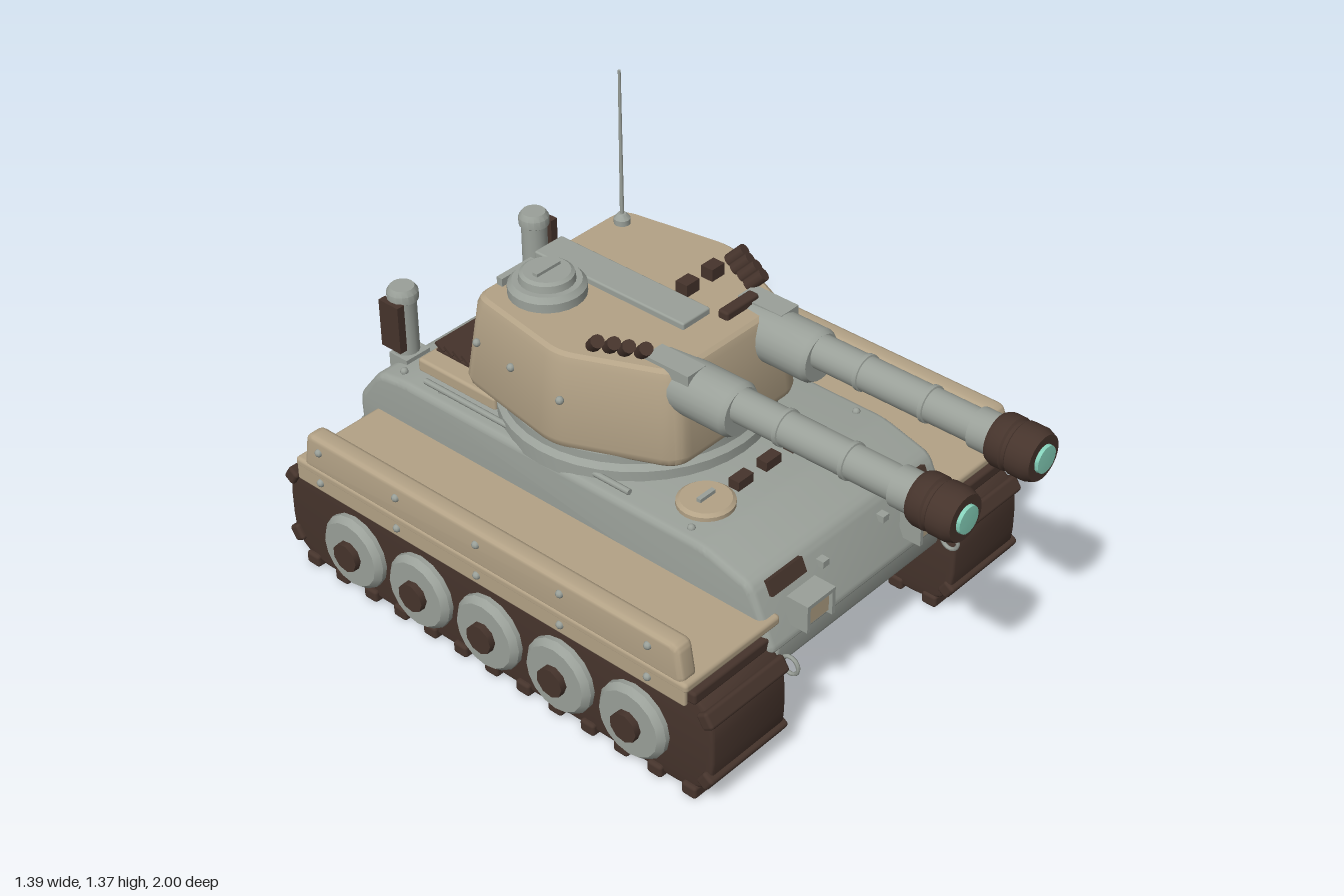
import * as THREE from 'three';
import { toCreasedNormals } from 'three/addons/utils/BufferGeometryUtils.js';
import { RoundedBoxGeometry } from 'three/addons/geometries/RoundedBoxGeometry.js';

const mat = (name, color) => Object.assign(new THREE.MeshStandardMaterial({ color }), { name });

export function createModel() {
  const tan = mat('sand tan', 0xb3a286);
  const grey = mat('armour grey', 0x9aa099);
  const brown = mat('dark brown', 0x46342c);
  const teal = mat('glowing teal', 0x86d2bb);
  const model = new THREE.Group();
  model.name = 'tank';

  const add = (name, geo, material, x = 0, y = 0, z = 0, parent = model) => {
    const m = new THREE.Mesh(geo, material);
    m.name = name;
    m.position.set(x, y, z);
    parent.add(m);
    return m;
  };
  const box = (w, h, d) => new THREE.BoxGeometry(w, h, d);
  const rbox = (w, h, d, r) => new RoundedBoxGeometry(w, h, d, 2, r);
  const cyl = (r, h, n = 20, r2 = r) => new THREE.CylinderGeometry(r2, r, h, n);
  // turned part; profile pairs are [radius, height], axis is y
  const turned = (pts, n = 24) =>
    toCreasedNormals(new THREE.LatheGeometry(pts.map(p => new THREE.Vector2(...p)), n), 0.6);
  const both = fn => [-1, 1].forEach(fn);

  // closed outline with rounded corners
  const roundPoly = (pts, r) => {
    const s = new THREE.Shape();
    const v = pts.map(p => new THREE.Vector2(...p));
    v.forEach((p, i) => {
      const a = v[(i + v.length - 1) % v.length], b = v[(i + 1) % v.length];
      const p0 = a.clone().sub(p).setLength(r).add(p), p1 = b.clone().sub(p).setLength(r).add(p);
      if (i) s.lineTo(p0.x, p0.y); else s.moveTo(p0.x, p0.y);
      s.quadraticCurveTo(p.x, p.y, p1.x, p1.y);
    });
    s.closePath();
    return s;
  };
  // side profile (z, y) widened along x
  const sideExtrude = (shape, width, bevel) => {
    const g = new THREE.ExtrudeGeometry(shape, {
      depth: width - 2 * bevel, bevelEnabled: bevel > 0, bevelSize: bevel, bevelThickness: bevel,
      bevelOffset: -bevel, bevelSegments: 3, curveSegments: 6,
    });
    g.translate(0, 0, -(width - 2 * bevel) / 2).rotateY(-Math.PI / 2);
    return toCreasedNormals(g, 0.6);
  };

  // hull
  add('upperHull', sideExtrude(roundPoly([[0.34, 0.545], [0.5, 0.5], [0.585, 0.31], [-0.94, 0.31],
    [-0.945, 0.42], [-0.86, 0.53], [-0.76, 0.545]], 0.03), 0.76, 0.02), grey);
  add('lowerHull', sideExtrude(roundPoly([[0.575, 0.34], [0.56, 0.235], [-0.91, 0.235], [-0.94, 0.34]], 0.02),
    0.69, 0.008), grey);

  // running gear
  const trackGeo = sideExtrude(roundPoly([[0.61, 0.345], [0.61, 0.015], [-0.96, 0.015], [-0.96, 0.345]], 0.13), 0.285, 0.01);
  const treadGeo = rbox(0.305, 0.04, 0.05, 0.01);
  const wheelGeo = turned([[0, -0.03], [0.115, -0.03], [0.115, 0.012], [0.1, 0.03], [0.05, 0.03], [0, 0.03]], 16);
  const hubGeo = cyl(0.045, 0.05, 9);
  both(s => {
    const gear = new THREE.Group();
    gear.name = s > 0 ? 'leftTrack' : 'rightTrack';
    model.add(gear);
    add('trackBelt', trackGeo, brown, s * 0.5, 0, 0, gear);
    for (let i = 0; i < 13; i++)
      [0.02, 0.34].forEach(y => add('tread', treadGeo, brown, s * 0.503, y, -0.88 + i * 0.118, gear));
    for (const z of [0.59, -0.94])
      for (const y of [0.083, 0.285]) {
        const t = add('cornerTread', treadGeo, brown, s * 0.503, y, z, gear);
        t.rotation.x = (z > 0 ? 1 : -1) * (y > 0.2 ? 1 : -1) * 1.0;
      }
    for (let i = 0; i < 5; i++) {
      const z = 0.35 - i * 0.26;
      add('wheel', wheelGeo, grey, s * 0.645, 0.15, z, gear).rotation.z = -s * Math.PI / 2;
      add('wheelHub', hubGeo, brown, s * 0.67, 0.15, z, gear).rotation.z = -s * Math.PI / 2;
    }
  });

  // fenders, side skirts and their bolts
  const boltGeo = new THREE.SphereGeometry(0.012, 8, 6);
  const skirtGeo = sideExtrude(roundPoly([[0.525, 0.508], [0.545, 0.39], [-0.84, 0.39], [-0.82, 0.508]], 0.025), 0.06, 0.015);
  both(s => {
    add('fender', rbox(0.365, 0.032, 1.43, 0.012), tan, s * 0.503, 0.39, -0.157);
    add('skirt', skirtGeo, tan, s * 0.652, 0, 0);
    add('skirtLip', rbox(0.016, 0.07, 1.42, 0.007), tan, s * 0.677, 0.368, -0.157);
    for (let i = 0; i < 5; i++) {
      add('skirtBolt', boltGeo, grey, s * 0.682, 0.465, 0.43 - i * 0.3);
      add('skirtBolt', boltGeo, grey, s * 0.685, 0.365, 0.43 - i * 0.3);
    }
    // front slit, lamp bracket and towing rings
    add('frontSlit', box(0.135, 0.045, 0.03), brown, s * 0.258, 0.468, 0.512).rotation.x = -0.42;
    add('lampFrame', rbox(0.11, 0.075, 0.05, 0.008), grey, s * 0.235, 0.4, 0.575);
    for (const dx of [-1, 1]) add('lampBracket', box(0.012, 0.085, 0.07), grey, s * 0.235 + dx * 0.05, 0.4, 0.585);
    add('lampTop', box(0.112, 0.012, 0.07), grey, s * 0.235, 0.437, 0.585);
    add('lampPanel', box(0.09, 0.055, 0.009), tan, s * 0.235, 0.395, 0.604);
    add('frontStud', box(0.025, 0.02, 0.03), grey, s * 0.125, 0.445, 0.53);
    for (const z of [0.605, -0.962])
      add('towRing', new THREE.TorusGeometry(0.027, 0.006, 6, 14), grey, s * 0.338, 0.275, z).rotation.y = Math.PI / 2;
    for (const z of [0.27, -0.64, -0.79]) add('deckBolt', boltGeo, grey, s * 0.338, 0.545, z);

    // rear exhausts
    add('exhaust', turned([[0, 0.53], [0.038, 0.53], [0.038, 0.715], [0.045, 0.72], [0.045, 0.745], [0.035, 0.76], [0, 0.76]], 16),
      grey, s * 0.26, 0, -0.862);
    add('exhaustFoot', box(0.09, 0.1, 0.07), grey, s * 0.26, 0.5, -0.85);
    add('exhaustShield', box(0.025, 0.15, 0.075), brown, s * 0.304, 0.65, -0.862);
  });

  // deck fittings
  add('driverHatch', turned([[0.08, -0.02], [0.08, 0.01], [0.07, 0.018], [0, 0.018]]), tan, -0.235, 0.547, 0.23);
  add('hatchHandle', box(0.06, 0.012, 0.014), grey, -0.235, 0.57, 0.23);
  for (const x of [-0.113, 0, 0.108]) add('periscope', box(0.06, 0.035, 0.035), brown, x, 0.556, 0.245);
  const tool = add('deckTool', cyl(0.009, 0.76, 8), grey, -0.342, 0.556, -0.32);
  tool.rotation.x = Math.PI / 2;
  add('engineFrame', rbox(0.61, 0.045, 0.3, 0.01), tan, 0, 0.56, -0.62);
  for (let i = 0; i < 7; i++)
    add('grilleSlat', box(0.49, 0.01, 0.036), brown, 0, 0.598, -0.54 - i * 0.034).rotation.x = 0.6;
  add('grilleBed', box(0.49, 0.008, 0.23), brown, 0, 0.584, -0.64);

  // turret ring
  add('turretRing', turned([[0.385, 0.53], [0.385, 0.575], [0.37, 0.59], [0.37, 0.615], [0, 0.615]], 40), grey, 0, 0, -0.225);

  // turret shell lofted from a rounded six-sided outline
  const outline = roundPoly([[-0.24, 0.145], [0.24, 0.145], [0.385, -0.18], [0.32, -0.573], [-0.32, -0.573], [-0.385, -0.18]], 0.05)
    .getPoints(5);
  if (outline[0].distanceTo(outline[outline.length - 1]) < 1e-6) outline.pop();
  const levels = [[0.605, 0.96], [0.615, 0.985], [0.635, 1], [0.86, 0.925], [0.88, 0.905], [0.889, 0.875]];
  const n = outline.length, cz = -0.214, pos = [], idx = [];
  for (const [y, k] of levels) for (const p of outline) pos.push(p.x * k, y, cz + (p.y - cz) * k);
  pos.push(0, 0.605, cz, 0, 0.889, cz);
  const last = (levels.length - 1) * n, c0 = levels.length * n;
  for (let i = 0; i < n; i++) {
    const j = (i + 1) % n;
    for (let k = 0; k < last; k += n) idx.push(k + i, k + j, k + n + j, k + i, k + n + j, k + n + i);
    idx.push(j, i, c0, last + i, last + j, c0 + 1);
  }
  const shell = new THREE.BufferGeometry();
  shell.setAttribute('position', new THREE.Float32BufferAttribute(pos, 3));
  shell.setIndex(idx);
  add('turret', toCreasedNormals(shell, 0.5), tan);

  // turret roof
  add('roofStrip', rbox(0.108, 0.03, 0.54, 0.006), grey, -0.003, 0.893, -0.275);
  add('cupola', turned([[0.108, 0.88], [0.108, 0.915], [0.095, 0.93], [0.078, 0.93], [0.075, 0.95], [0.065, 0.957], [0, 0.957]]),
    grey, -0.155, 0, -0.4);
  add('cupolaHandle', box(0.09, 0.012, 0.016), grey, -0.155, 0.96, -0.4);
  add('cupolaHinge', box(0.13, 0.03, 0.02), grey, -0.155, 0.898, -0.515);
  add('antennaBase', turned([[0.024, 0.88], [0.024, 0.905], [0.012, 0.92], [0, 0.92]], 12), grey, 0.23, 0, -0.485);
  add('antenna', cyl(0.006, 0.46, 8, 0.004), grey, 0.23, 1.135, -0.485);
  for (const x of [0.09, 0.192]) add('roofPeriscope', box(0.05, 0.045, 0.04), brown, x, 0.903, -0.12);
  add('roofBar', rbox(0.13, 0.03, 0.035, 0.008), brown, 0.115, 0.898, 0.037);

  // turret rear locker
  add('rearLocker', rbox(0.37, 0.1, 0.07, 0.012), tan, 0, 0.722, -0.567);
  add('lockerRail', box(0.33, 0.016, 0.012), grey, 0, 0.735, -0.604);

  // smoke launchers, turret bolts and guns
  const launchers = [[0.28, -0.11], [0.258, -0.072], [0.243, -0.034], [0.222, 0.006]];
  both(s => {
    launchers.forEach(([x, z]) => {
      const t = add('smokeLauncher', cyl(0.019, 0.06, 10), brown, s * x, 0.915, z);
      t.rotation.set(0.75, 0, -s * 0.35);
    });
    [[0.366, -0.16], [0.343, -0.36], [0.32, -0.51]].forEach(([x, z]) => add('turretBolt', boltGeo, grey, s * x, 0.758, z));

    const gun = new THREE.Group();
    gun.name = s > 0 ? 'leftGun' : 'rightGun';
    gun.position.set(s * 0.16, 0.842, 0);
    model.add(gun);
    const along = (name, pts, m, y = 0) => { add(name, turned(pts), m, 0, y, 0, gun).rotation.x = Math.PI / 2; };
    along('mantlet', [[0, 0.02], [0.072, 0.02], [0.077, 0.13], [0.077, 0.27], [0.068, 0.285], [0, 0.285]], grey, -0.02);
    add('mantletBlock', box(0.07, 0.05, 0.15), grey, s * 0.025, 0.033, 0.08, gun);
    along('barrel', [[0.048, 0.25], [0.047, 0.8]], grey);
    for (const z of [0.43, 0.64]) along('barrelBand', [[0.046, z - 0.008], [0.052, z - 0.006], [0.052, z + 0.006], [0.046, z + 0.008]], grey);
    along('collar', [[0.046, 0.785], [0.056, 0.79], [0.056, 0.86], [0.046, 0.865]], grey);
    along('muzzle', [[0.04, 0.85], [0.066, 0.852], [0.073, 0.868], [0.073, 0.9], [0.068, 0.905], [0.068, 0.915], [0.073, 0.92],
      [0.073, 0.965], [0.064, 0.988], [0.04, 0.988], [0, 0.985]], brown);
    along('muzzleLight', [[0.04, 0.98], [0.038, 0.998], [0, 1]], teal);
  });
  return model;
}
